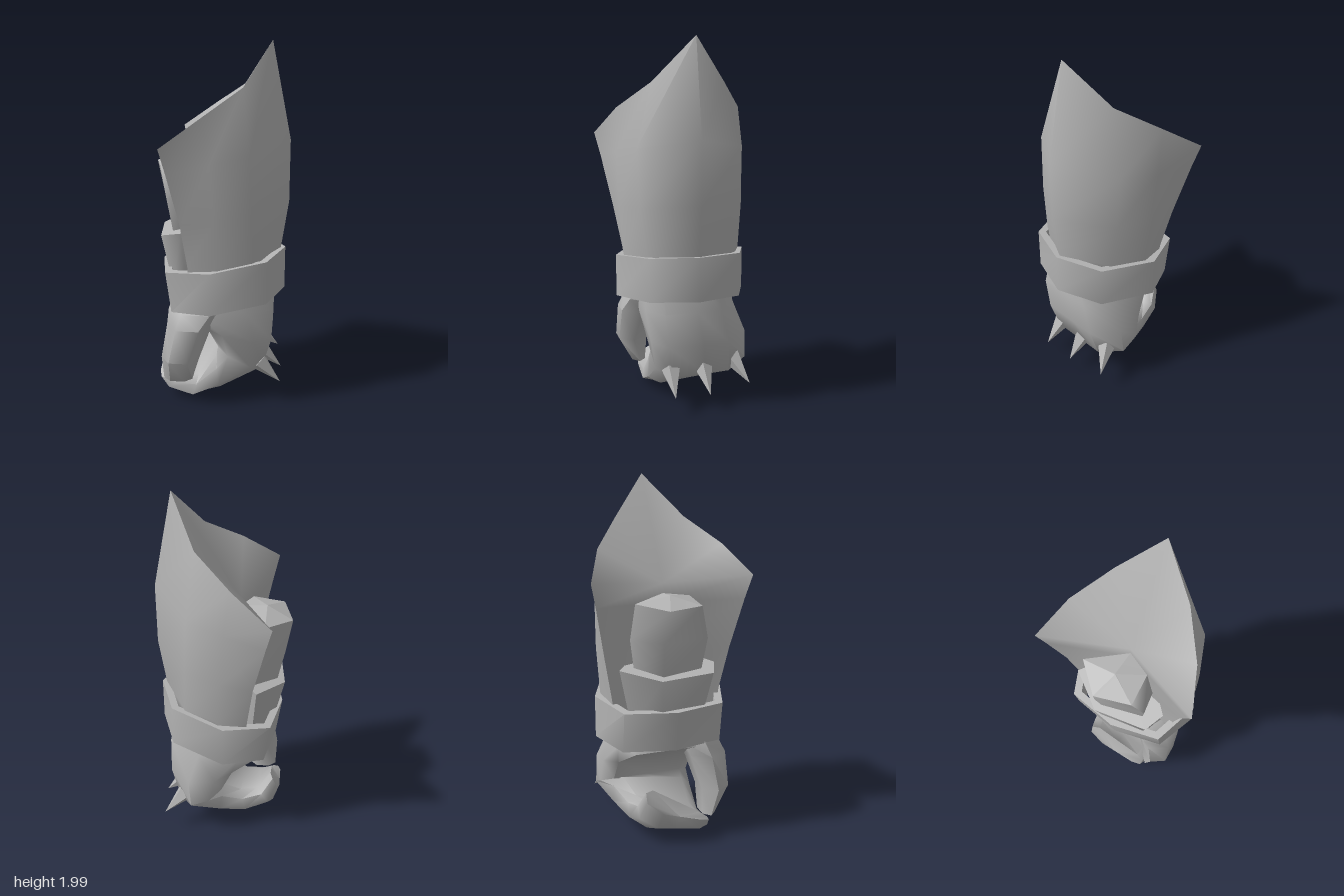
import * as THREE from 'three';
import { toCreasedNormals } from 'three/addons/utils/BufferGeometryUtils.js';

// Skin a list of rings (equal point counts); caps fan out from each ring's first point
function loft(rings, crease, caps = true) {
  const n = rings[0].length, pos = rings.flat(2), idx = [];
  for (let i = 0; i < rings.length - 1; i++) {
    for (let j = 0; j < n; j++) {
      const a = i * n + j, b = i * n + (j + 1) % n;
      idx.push([a, b, b + n], [a, b + n, a + n]);
    }
  }
  if (caps) {
    const t = (rings.length - 1) * n;
    for (let j = 1; j < n - 1; j++) idx.push([0, j + 1, j], [t, t + j, t + j + 1]);
  }
  // turn the faces outward when the enclosed volume comes out negative
  const p = i => new THREE.Vector3().fromArray(pos, i * 3);
  const volume = idx.reduce((v, [a, b, c]) => v + p(a).dot(p(b).cross(p(c))), 0);
  if (volume < 0) idx.forEach(f => f.reverse());
  const g = new THREE.BufferGeometry();
  g.setAttribute('position', new THREE.Float32BufferAttribute(pos, 3));
  g.setIndex(idx.flat());
  return toCreasedNormals(g, crease);
}

// Horizontal outline [x, z] lifted to a height given by a rule, scaled about (cx, cz)
const lift = (outline, yAt, s = 1, cx = 0, cz = 0) => outline.map(([x, z]) => {
  const px = cx + (x - cx) * s, pz = cz + (z - cz) * s;
  return [px, yAt(px), pz];
});

export function createModel() {
  const model = new THREE.Group();
  const steel = new THREE.MeshStandardMaterial({ color: 0xb4b4b4 });
  steel.name = 'steel grey';
  const add = (name, geometry) => {
    const mesh = new THREE.Mesh(geometry, steel);
    mesh.name = name;
    model.add(mesh);
    return mesh;
  };

  // Flared cuff: groove line, then front edge, two flank points and back ridge, mirrored in z
  const cuffRing = (groove, edge, flank, side, ridge) => {
    const half = [edge, flank, side];
    return [[...groove, 0], ...half, [...ridge, 0],
      ...half.slice().reverse().map(([x, y, z]) => [x, y, -z])];
  };
  add('cuff', loft([
    cuffRing([-0.1, 0.68], [-0.15, 0.68, 0.29], [0, 0.7, 0.32], [0.19, 0.7, 0.22], [0.3, 0.72]),
    cuffRing([-0.1, 0.86], [-0.155, 0.84, 0.31], [0, 0.85, 0.335], [0.19, 0.86, 0.25], [0.33, 0.87]),
    cuffRing([-0.1, 1.1], [-0.185, 1.08, 0.355], [-0.01, 1.1, 0.355], [0.18, 1.12, 0.28], [0.37, 1.14]),
    cuffRing([-0.09, 1.34], [-0.245, 1.36, 0.41], [-0.03, 1.4, 0.362], [0.165, 1.43, 0.29], [0.37, 1.48]),
    cuffRing([-0.09, 1.44], [-0.275, 1.49, 0.44], [-0.07, 1.635, 0.35], [0.125, 1.77, 0.2], [0.265, 2]),
  ], 1.4));

  // Tilted wrist band with a hollow middle
  const bandOutline = [[0.355, 0], [0.26, -0.25], [-0.03, -0.372], [-0.28, -0.28],
    [-0.335, 0], [-0.28, 0.28], [-0.03, 0.372], [0.26, 0.25]];
  const top = x => 0.831 + 0.123 * x, bottom = x => 0.597 + 0.106 * x;
  const lowOutline = bandOutline.map(([x, z]) => [x < -0.1 ? x + 0.03 : x, z]);
  const low = lift(lowOutline, bottom);
  add('wristBand', loft([low, lift(bandOutline, top), lift(bandOutline, top, 0.88),
    lift(lowOutline, bottom, 0.88), low], 1, false));

  // Inner sleeve step in the groove of the cuff
  const sleeve = [[-0.05, -0.15], [-0.2, -0.28], [-0.345, -0.09], [-0.31, 0.21], [-0.2, 0.26], [-0.05, 0.12]];
  add('innerSleeve', loft([
    lift(sleeve, () => 0.68, 0.75, -0.1),
    lift(sleeve, x => 1.06 + 0.25 * x),
  ], 1.2));

  // Forearm with a low faceted tip
  const arm = [[-0.09, 0], [-0.23, -0.2], [-0.37, -0.06], [-0.32, 0.135], [-0.15, 0.13]];
  const armMiddle = [[-0.09, 0], [-0.2, -0.22], [-0.34, -0.08], [-0.28, 0.185], [-0.16, 0.17]];
  const armTop = lift(arm, x => 1.4 + 0.15 * x);
  add('forearm', loft([
    lift(armMiddle, () => 0.95, 0.85, -0.05),
    lift(armMiddle, () => 1.17),
    armTop,
  ], 1.35));
  add('forearmTip', loft([armTop, lift(arm, () => 1.4, 0.02, -0.23, -0.01)], 0.1));

  // Curled hand: [outer x, y, inner x, y, back z, front z, upward slant to the back]
  const handStations = [
    [0.25, 0.72, -0.2, 0.70, -0.24, 0.24, 0],
    [0.295, 0.56, -0.24, 0.54, -0.265, 0.25, 0],
    [0.29, 0.37, -0.07, 0.435, -0.32, 0.23, 0],
    [0.24, 0.19, -0.01, 0.31, -0.33, 0.2, 0],
    [0.0, 0.05, -0.02, 0.25, -0.27, 0.2, 0.08],
    [-0.16, 0.0, -0.12, 0.13, -0.22, 0.2, 0.15],
    [-0.31, 0.06, -0.22, 0.12, -0.2, 0.2, 0.19],
    [-0.345, 0.13, -0.29, 0.14, -0.17, 0.19, 0.32],
  ];
  // each section: outer share (0 = outer, 1 = inner) against position across the hand
  const section = [[0, 0.5], [0, 0.24], [0.33, 0], [0.75, 0], [1, 0.12],
    [1, 0.5], [1, 0.88], [0.75, 1], [0.25, 1], [0, 0.85]];
  add('hand', loft(handStations.map(([ox, oy, ix, iy, z0, z1, slant]) =>
    section.map(([t, u]) => {
      const z = z0 + (z1 - z0) * u;
      return [ox + (ix - ox) * t, oy + (iy - oy) * t + slant * (1 + t) * (z1 - z), z];
    })), 1.1));

  // Thumb reaching down over the fingers: [x, y, z, radius x, radius z]
  add('thumb', loft([
    [-0.06, 0.66, 0.15, 0.17, 0.09],
    [-0.12, 0.56, 0.19, 0.16, 0.11],
    [-0.16, 0.48, 0.225, 0.125, 0.11],
    [-0.21, 0.29, 0.255, 0.105, 0.085],
    [-0.23, 0.14, 0.215, 0.08, 0.04],
  ].map(([x, y, z, rx, rz]) => Array.from({ length: 6 }, (_, i) => {
    const a = i * Math.PI / 3;
    return [x + rx * Math.cos(a), y, z - rz * Math.sin(a) * 1.1];
  })), 1.1));

  // Knuckle spikes, each pointing outward and down
  [
    [[0.22, 0.225, 0.12], [0.345, 0.105, 0.13]],
    [[0.22, 0.225, -0.06], [0.345, 0.105, -0.065]],
    [[0.2, 0.255, -0.235], [0.32, 0.135, -0.3]],
  ].forEach(([base, tip]) => {
    const a = new THREE.Vector3(...base), b = new THREE.Vector3(...tip);
    const length = a.distanceTo(b);
    const spike = add('knuckleSpike', toCreasedNormals(new THREE.ConeGeometry(0.055, length, 5), 0.6));
    spike.position.copy(a).lerp(b, 0.5);
    spike.quaternion.setFromUnitVectors(new THREE.Vector3(0, 1, 0), b.sub(a).normalize());
  });

  return model;
}
